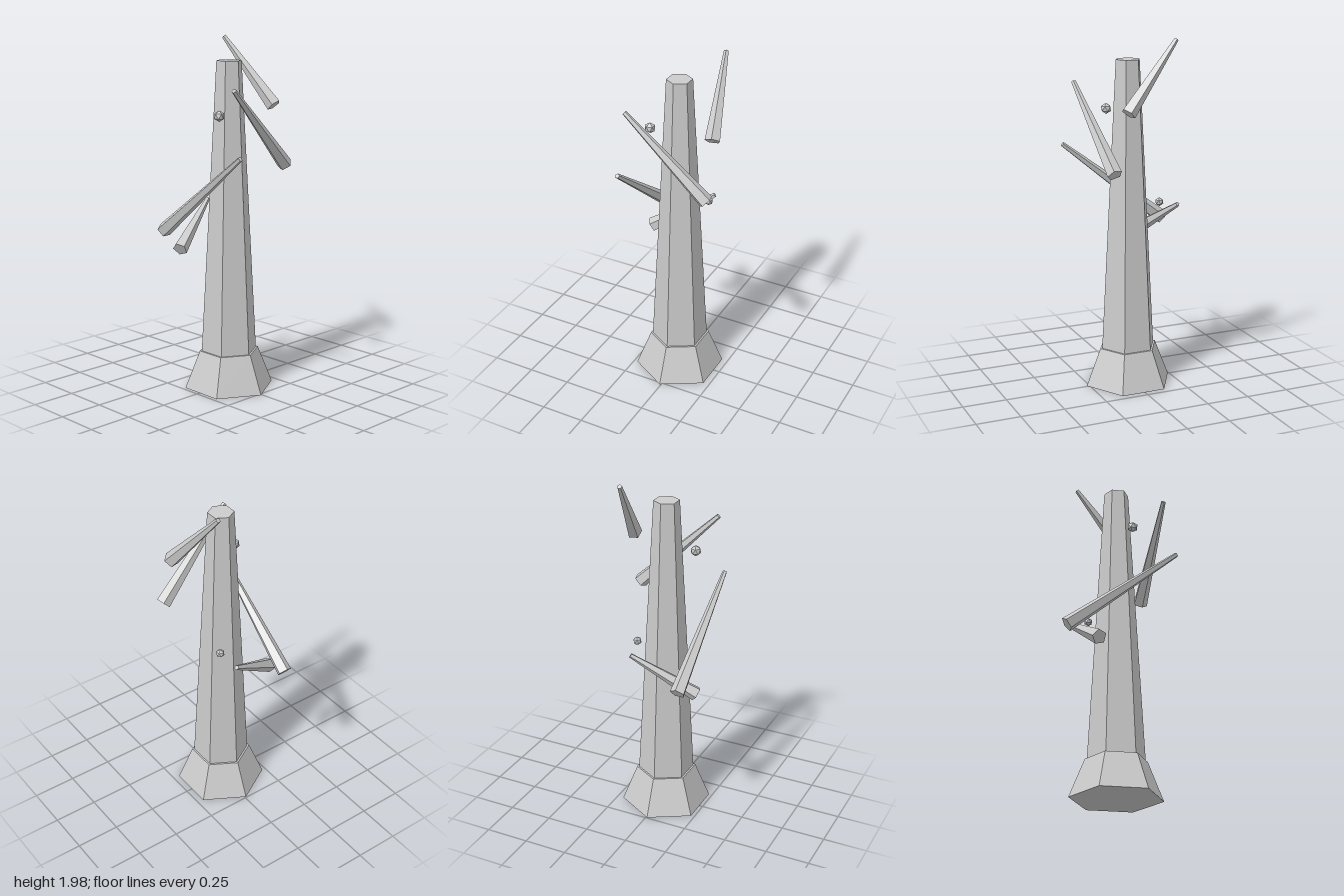
import * as THREE from 'three';

const material = new THREE.MeshStandardMaterial({ color: 0xcccccc, flatShading: true });

function addMesh(parent, name, geometry) {
  const mesh = new THREE.Mesh(geometry, material);
  mesh.name = name;
  parent.add(mesh);
  return mesh;
}

// Upright six-sided frustum standing between two heights
function addHexagon(parent, name, topRadius, bottomRadius, y0, y1) {
  const geometry = new THREE.CylinderGeometry(topRadius, bottomRadius, y1 - y0, 6);
  addMesh(parent, name, geometry).position.set(-0.008, (y0 + y1) / 2, 0.01);
}

// Tapered five-sided branch from its thick end to its tip; roll turns it about its axis
function addBranch(parent, name, from, to, rollDegrees) {
  const start = new THREE.Vector3(...from);
  const end = new THREE.Vector3(...to);
  const axis = end.clone().sub(start);
  const geometry = new THREE.CylinderGeometry(0.0135, 0.0427, axis.length(), 5);
  axis.normalize();
  const side = new THREE.Vector3().crossVectors(axis, new THREE.Vector3(0, 1, 0)).normalize();
  const up = new THREE.Vector3().crossVectors(side, axis);
  const roll = THREE.MathUtils.degToRad(rollDegrees);
  const ridge = up.multiplyScalar(Math.cos(roll)).addScaledVector(side, Math.sin(roll));
  const across = new THREE.Vector3().crossVectors(axis, ridge);
  const mesh = addMesh(parent, name, geometry);
  mesh.quaternion.setFromRotationMatrix(new THREE.Matrix4().makeBasis(across, axis, ridge));
  mesh.position.copy(start).add(end).multiplyScalar(0.5);
}

// Small faceted knot with a corner pointing up
function addKnot(parent, name, radius, x, y, z) {
  const geometry = new THREE.IcosahedronGeometry(radius, 0);
  geometry.rotateZ(Math.atan(2 / (1 + Math.sqrt(5))));
  addMesh(parent, name, geometry).position.set(x, y, z);
}

export function createModel() {
  const tree = new THREE.Group();
  tree.name = 'bareTree';

  // Trunk and flared root base
  addHexagon(tree, 'trunk', 0.071, 0.171, 0.021, 1.877);
  addHexagon(tree, 'rootFlare', 0.171, 0.256, 0.021, 0.235);

  // Branches
  addBranch(tree, 'rightBranch', [-0.223, 0.913, -0.297], [-0.223, 1.393, 0.315], 0);
  addBranch(tree, 'backBranch', [-0.257, 0.838, -0.125], [0.08, 1.06, -0.257], -20);
  addBranch(tree, 'frontBranch', [0.246, 1.297, 0.195], [-0.207, 1.742, 0.25], -28);
  addBranch(tree, 'topBranch', [0.24, 1.62, 0.115], [0.16, 1.99, -0.2], 0);

  // Knots
  addKnot(tree, 'upperKnot', 0.031, -0.15, 1.59, 0.08);
  addKnot(tree, 'lowerKnot', 0.025, 0.1, 1.09, -0.134);

  return tree;
}
